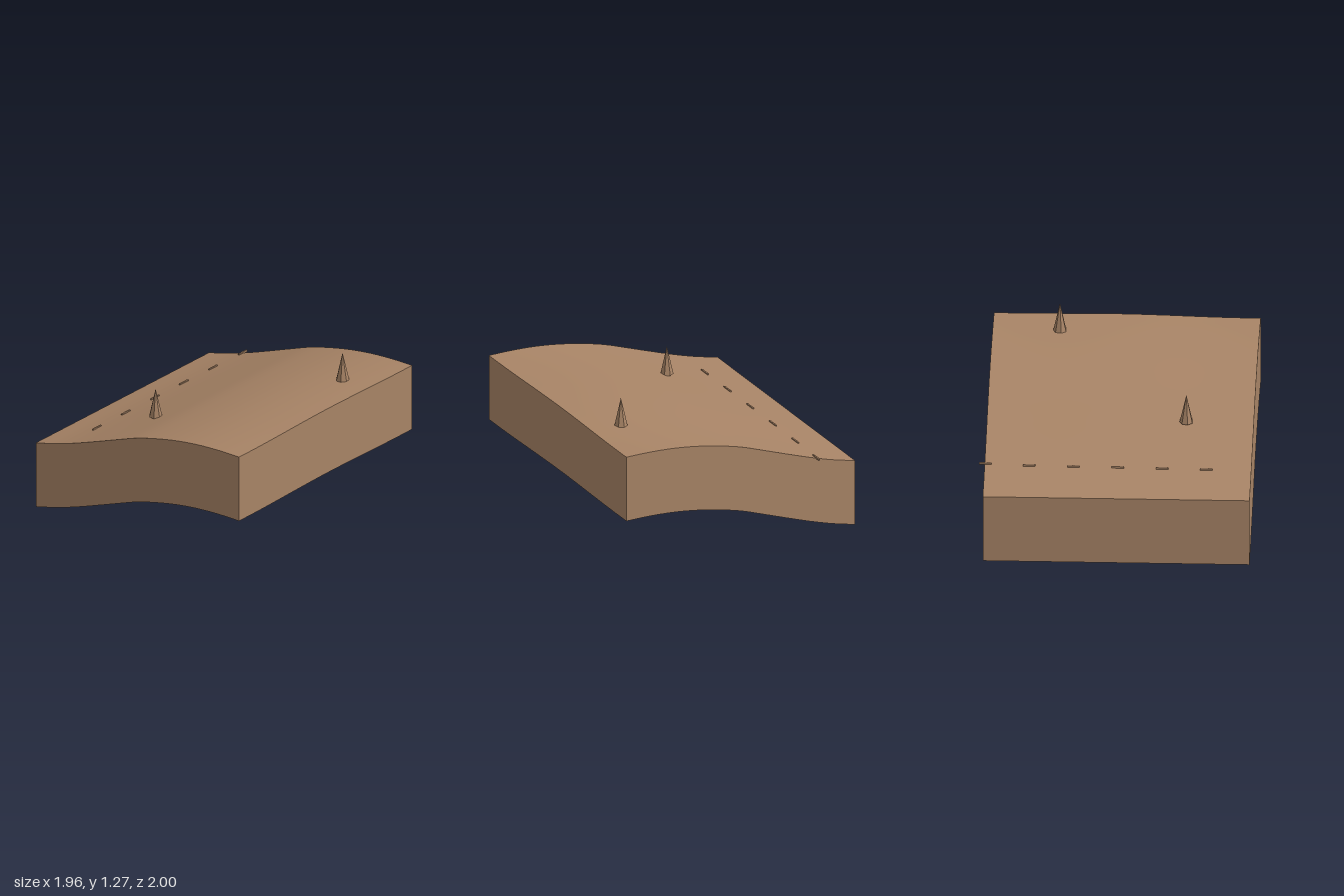
import * as THREE from 'three';

const HALF_X = 0.98, BACK = -0.96, FRONT = 1.0, DEPTH = 0.525, SEG = 40;

// Height of the slope at evenly spaced x, from the left edge of the front to the right
const profile = new THREE.CatmullRomCurve3(
  [0.529, 0.587, 0.657, 0.735, 0.815, 0.893, 0.952, 0.999, 1.032, 1.052, 1.062]
    .map((y, i) => new THREE.Vector3(i, y, 0)), false, 'catmullrom');

function heightAt(x, z) {
  const t = THREE.MathUtils.clamp((x + HALF_X) / (2 * HALF_X), 0, 1);
  const low = 0.004 * z;
  const high = 0.006 * Math.cos(z * 3.6) - 0.003 * z;
  return profile.getPoint(t).y + THREE.MathUtils.lerp(low, high, t);
}

// Vertical wall under the ground edge running from (x0, z0) to (x1, z1)
function wallGeometry(x0, z0, x1, z1) {
  const geo = new THREE.PlaneGeometry(1, 1, SEG, 1);
  const pos = geo.attributes.position;
  for (let i = 0; i < pos.count; i++) {
    const t = pos.getX(i) + 0.5;
    const x = THREE.MathUtils.lerp(x0, x1, t), z = THREE.MathUtils.lerp(z0, z1, t);
    pos.setXYZ(i, x, heightAt(x, z) - (pos.getY(i) < 0 ? DEPTH : 0), z);
  }
  geo.computeVertexNormals();
  return geo;
}

export function createModel() {
  const model = new THREE.Group();
  model.name = 'hillside';
  const earth = new THREE.MeshStandardMaterial({ color: 0xa88466, side: THREE.DoubleSide });
  earth.name = 'earth brown';

  const add = (name, geo) => {
    const mesh = new THREE.Mesh(geo, earth);
    mesh.name = name;
    model.add(mesh);
    return mesh;
  };

  // Gently rolling ground surface
  const ground = new THREE.PlaneGeometry(2 * HALF_X, FRONT - BACK, SEG, SEG);
  ground.rotateX(-Math.PI / 2).translate(0, 0, (FRONT + BACK) / 2);
  const pos = ground.attributes.position;
  for (let i = 0; i < pos.count; i++) pos.setY(i, heightAt(pos.getX(i), pos.getZ(i)));
  ground.computeVertexNormals();
  add('ground', ground);

  // Skirt walls, open underneath
  add('frontWall', wallGeometry(-HALF_X, FRONT, HALF_X, FRONT));
  add('leftWall', wallGeometry(HALF_X, FRONT, HALF_X, BACK));
  add('backWall', wallGeometry(HALF_X, BACK, -HALF_X, BACK));
  add('rightWall', wallGeometry(-HALF_X, BACK, -HALF_X, FRONT));

  // Seven-sided conical trees
  for (const [x, y, z] of [[-0.247, 0.803, 0.505], [0.73, 1.048, -0.465]]) {
    const cone = new THREE.ConeGeometry(0.05, 0.222, 7).toNonIndexed();
    cone.computeVertexNormals();
    const tree = add('tree', cone);
    tree.position.set(x, y + 0.111, z);
    tree.rotation.y = Math.PI;
  }

  // Row of short dashes along the path, the last one overhanging the back edge
  for (const [x, z] of [[-0.673, 0.67], [-0.671, 0.345], [-0.668, 0.018],
    [-0.667, -0.307], [-0.662, -0.633], [-0.65, -0.955]]) {
    const dash = add('pathDash', new THREE.BoxGeometry(0.011, 0.014, 0.09));
    dash.position.set(x, heightAt(x, z) + 0.004, z);
  }

  return model;
}
